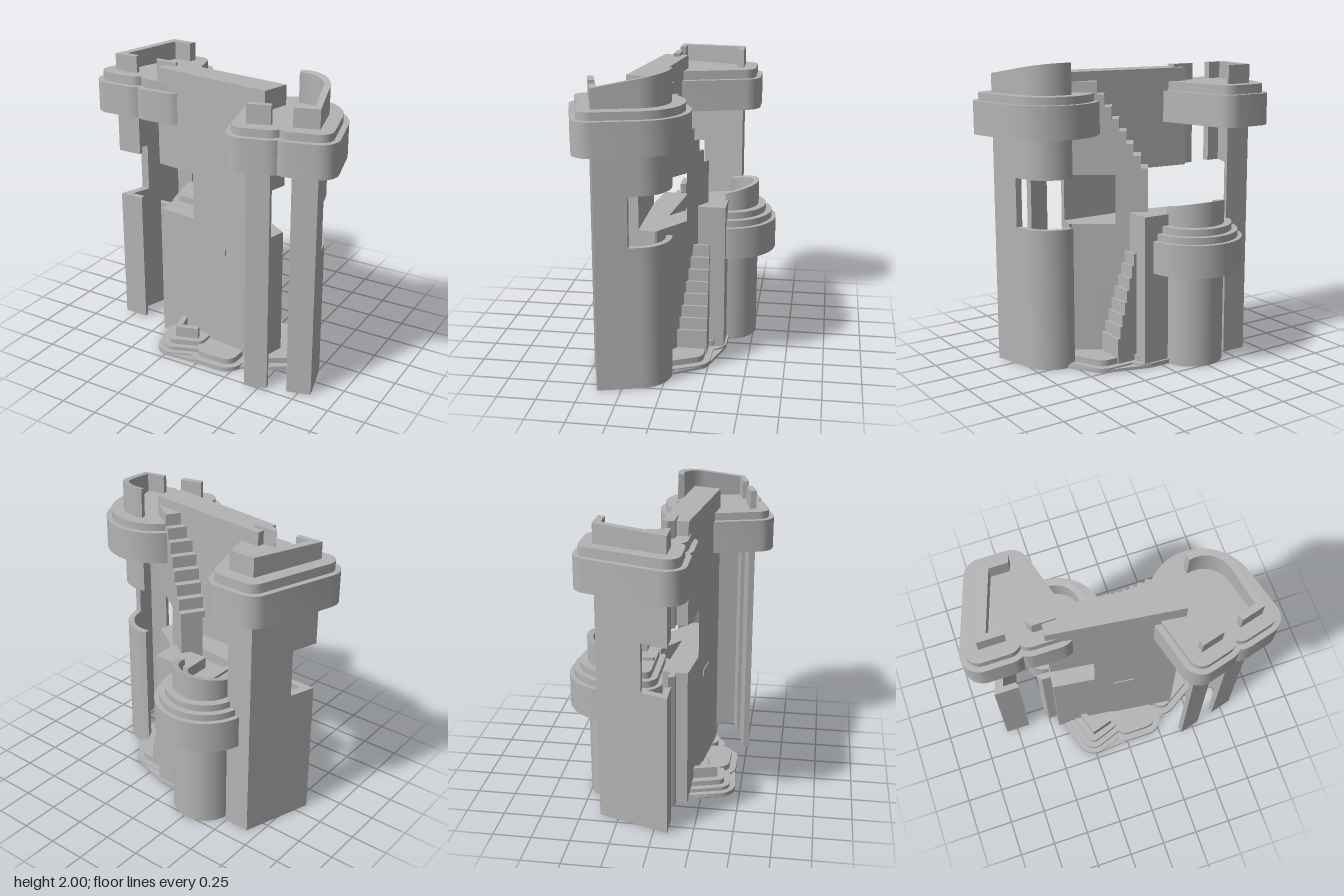
import * as THREE from 'three';
import { mergeGeometries, toCreasedNormals } from 'three/addons/utils/BufferGeometryUtils.js';

const stone = new THREE.MeshStandardMaterial({ color: 0xb4b4b4 });
stone.name = 'grey stone';

// Upright prism over a plan of [x, z] points; lift(z) may raise its top edge
function prism(plan, y0, y1, lift) {
  const shape = new THREE.Shape(plan.map(([x, z]) => new THREE.Vector2(x, -z)));
  const g = new THREE.ExtrudeGeometry(shape, { depth: y1 - y0, bevelEnabled: false });
  g.rotateX(-Math.PI / 2).translate(0, y0, 0);
  const p = g.attributes.position;
  if (lift) for (let i = 0; i < p.count; i++) {
    if (p.getY(i) > y1 - 1e-4) p.setY(i, y1 + lift(p.getZ(i)));
  }
  return g;
}

// Keep the part of a plan where side * (z - limit) > 0
function clip(plan, limit, side) {
  const out = [];
  plan.forEach((a, i) => {
    const b = plan[(i + 1) % plan.length];
    const da = side * (a[1] - limit), db = side * (b[1] - limit);
    if (da >= 0) out.push(a);
    if (da * db < 0) {
      const t = da / (da - db);
      out.push([a[0] + (b[0] - a[0]) * t, limit]);
    }
  });
  return out;
}

// Prism from the ground with the cross passage (z -0.08..0.2) cut out
const PASS = { low: 0.94, high: 1.265, back: -0.08, front: 0.2 };
function cutPrism(plan, top, lift) {
  if (top <= PASS.low) return [prism(plan, 0, top, lift)];
  const parts = [prism(plan, 0, PASS.low), prism(plan, PASS.high, top, lift)];
  for (const c of [clip(plan, PASS.back, -1), clip(plan, PASS.front, 1)]) {
    if (c.length > 2) parts.push(prism(c, PASS.low, PASS.high));
  }
  return parts;
}

// Convex plan grown outwards by r with round corners
function grow(points, r) {
  const area = points.reduce((s, a, i) => {
    const b = points[(i + 1) % points.length];
    return s + a[0] * b[1] - b[0] * a[1];
  }, 0);
  const p = area < 0 ? [...points].reverse() : points;
  const n = p.length, out = [];
  const normal = (a, b) => Math.atan2(a[0] - b[0], b[1] - a[1]);
  p.forEach((c, i) => {
    const a0 = normal(p[(i + n - 1) % n], c);
    let turn = normal(c, p[(i + 1) % n]) - a0;
    while (turn < 0) turn += 2 * Math.PI;
    const steps = Math.max(1, Math.ceil(turn / 0.2));
    for (let k = 0; k <= steps; k++) {
      const a = a0 + (turn * k) / steps;
      out.push([c[0] + r * Math.cos(a), c[1] + r * Math.sin(a)]);
    }
  });
  return out;
}

// Stacked stepped slabs: levels are [offset, y0, y1]
const ledges = (feet, levels) => feet.flatMap(
  (f) => levels.map(([r, y0, y1]) => prism(grow(f, r), y0, y1)));

function arc(cx, cz, r, from, to, n = 16) {
  return Array.from({ length: n + 1 }, (_, i) => {
    const a = from + ((to - from) * i) / n;
    return [cx + r * Math.cos(a), cz + r * Math.sin(a)];
  });
}

export function createModel() {
  const group = new THREE.Group();
  const add = (name, geometries) => {
    const g = toCreasedNormals(mergeGeometries(geometries), 0.5);
    const mesh = new THREE.Mesh(g, stone);
    mesh.name = name;
    group.add(mesh);
  };

  // Curtain wall between the towers
  add('curtainWall', cutPrism([[-0.445, 0.165], [0.4, 0.27], [0.45, 0.09], [-0.43, 0]], 1.93));
  const block = new THREE.BoxGeometry(0.14, 0.045, 0.02);
  block.rotateY(-0.124).translate(0.035, 0.767, 0.222);
  add('wallBlock', [block]);

  // Angular tower
  const leftLift = (z) => -z * 0.03;
  add('angularTowerWall', cutPrism([[-0.495, -0.375], [-0.67, -0.375], [-0.83, 0.09],
    [-0.66, 0.09], [-0.67, 0.05], [-0.76, 0.05], [-0.63, -0.33], [-0.51, -0.33]], 1.953, leftLift));
  add('angularTowerPier', cutPrism([[-0.525, 0.05], [-0.5, 0.09], [-0.35, 0.09], [-0.365, 0.05]], 1.95));
  const back = [[-0.495, -0.375], [-0.67, -0.375]];
  add('angularTowerLedge', ledges(
    [[...back, [-0.83, 0.09], [-0.66, 0.09]], [...back, [-0.525, 0.09], [-0.36, 0.09]]],
    [[0.12, 1.57, 1.78], [0.085, 1.78, 1.84]]));

  // Round tower, planned in its own frame and turned
  const turn = ([s, d]) => [0.545 + 0.966 * s + 0.26 * d, 0.185 - 0.26 * s + 0.966 * d];
  const top = -Math.PI / 2;
  add('roundTowerWall', cutPrism([...arc(0, 0, 0.22, top, 0), [0.22, 0.28], [0.06, 0.28],
    [0.06, 0.24], [0.18, 0.24], ...arc(0, 0, 0.18, 0, top)].map(turn), 1.92,
  (z) => Math.max(0, (0.41 - z) * 0.182)));
  add('roundTowerPier', cutPrism(
    [[-0.22, 0.24], [-0.22, 0.28], [-0.07, 0.28], [-0.07, 0.24]].map(turn), 1.92));
  const dome = arc(0, 0, 0.22, -Math.PI, 0);
  add('roundTowerLedge', ledges(
    [[...dome, [0.06, 0.28], [-0.22, 0.28]], [...dome, [0.22, 0.28], [0.075, 0.28]]]
      .map((f, i) => (i ? [...dome, [0.22, 0.28], [0.06, 0.28]] : [...dome, [-0.075, 0.28], [-0.22, 0.28]]).map(turn)),
    [[0.12, 1.535, 1.75], [0.085, 1.75, 1.8]]));

  // Low rear turret
  const cx = -0.265, cz = -0.305;
  add('turretWall', [prism([...arc(cx, cz, 0.21, 0, -Math.PI, 28), ...arc(cx, cz, 0.17, -Math.PI, 0, 28)],
    0, 1.04, (z) => (-0.2 - z) * 0.22)]);
  add('turretLedge', ledges([[...arc(cx, cz, 0.21, -Math.PI, 0, 24), [-0.1, -0.12], [-0.43, -0.12]]],
    [[0.12, 0.64, 0.855], [0.09, 0.855, 0.9], [0.05, 0.9, 0.945]]));
  add('turretCurb', [prism(grow([[-0.27, -0.33], [-0.265, -0.33], [-0.265, -0.09], [-0.27, -0.09]], 0.015), 0.94, 0.965)]);

  // Landing pillar and the two flights of stairs
  add('landing', [prism([[-0.14, -0.325], [0.13, -0.325], [0.13, -0.145], [-0.14, -0.145]], 0, 1.02)]);
  const upper = [], lower = [];
  for (let i = 0; i < 8; i++) {
    const a = i * 0.047, b = i === 7 ? 0.5 : a + 0.047;
    const edge = (t) => [0.02 + 0.826 * t, -0.2 + 0.564 * t];
    const far = (t) => [edge(t)[0] - 0.092, edge(t)[1] + 0.135];
    upper.push(...cutPrism([edge(a), edge(b), far(b), far(a)], 1.31 + 0.08 * i));
    const x = 0.13 + 0.018 * i, z = -0.18 + (x - 0.02) * 0.683;
    lower.push(prism([[x, -0.225], [x + 0.018, -0.225], [x + 0.018, z], [x, z]], 0, 0.76 - 0.08 * i));
  }
  add('upperStairs', upper);
  add('lowerStairs', lower);

  // Ground plate with stepped plinths
  add('groundPlate', ledges(
    [[[-0.28, 0.2], [-0.23, 0.345], [0.1, 0.32], [0.5, 0.12], [0.34, -0.14], [0.07, -0.22], [-0.28, -0.2]]],
    [[0.12, 0, 0.02]]));
  add('cornerPlinth', ledges([[[-0.28, 0.17], [-0.23, 0.345], [-0.08, 0.29], [-0.08, 0.17]]],
    [[0.12, 0, 0.03], [0.085, 0.03, 0.055], [0.045, 0.055, 0.09]]));
  add('cornerWall', [prism([[-0.28, 0.17], [-0.23, 0.345], [-0.08, 0.3], [-0.09, 0.262],
    [-0.205, 0.296], [-0.24, 0.17]], 0, 0.165)]);
  const low = [[0.12, 0, 0.03], [0.075, 0.03, 0.07]];
  add('frontPlinth', ledges([[[0.02, 0.2], [0.02, 0.33], [0.17, 0.33], [0.17, 0.2]]], low));
  add('sidePlinth', ledges([[[0.34, 0.12], [0.34, 0.22], [0.5, 0.12], [0.45, 0.05]]], low));
  add('rearPlinth', ledges([[[-0.1, -0.22], [0.07, -0.22], [0.07, -0.05], [-0.1, -0.05]],
    [[0.2, -0.14], [0.34, -0.14], [0.42, 0.02], [0.2, 0.02]]], low));

  return group;
}
